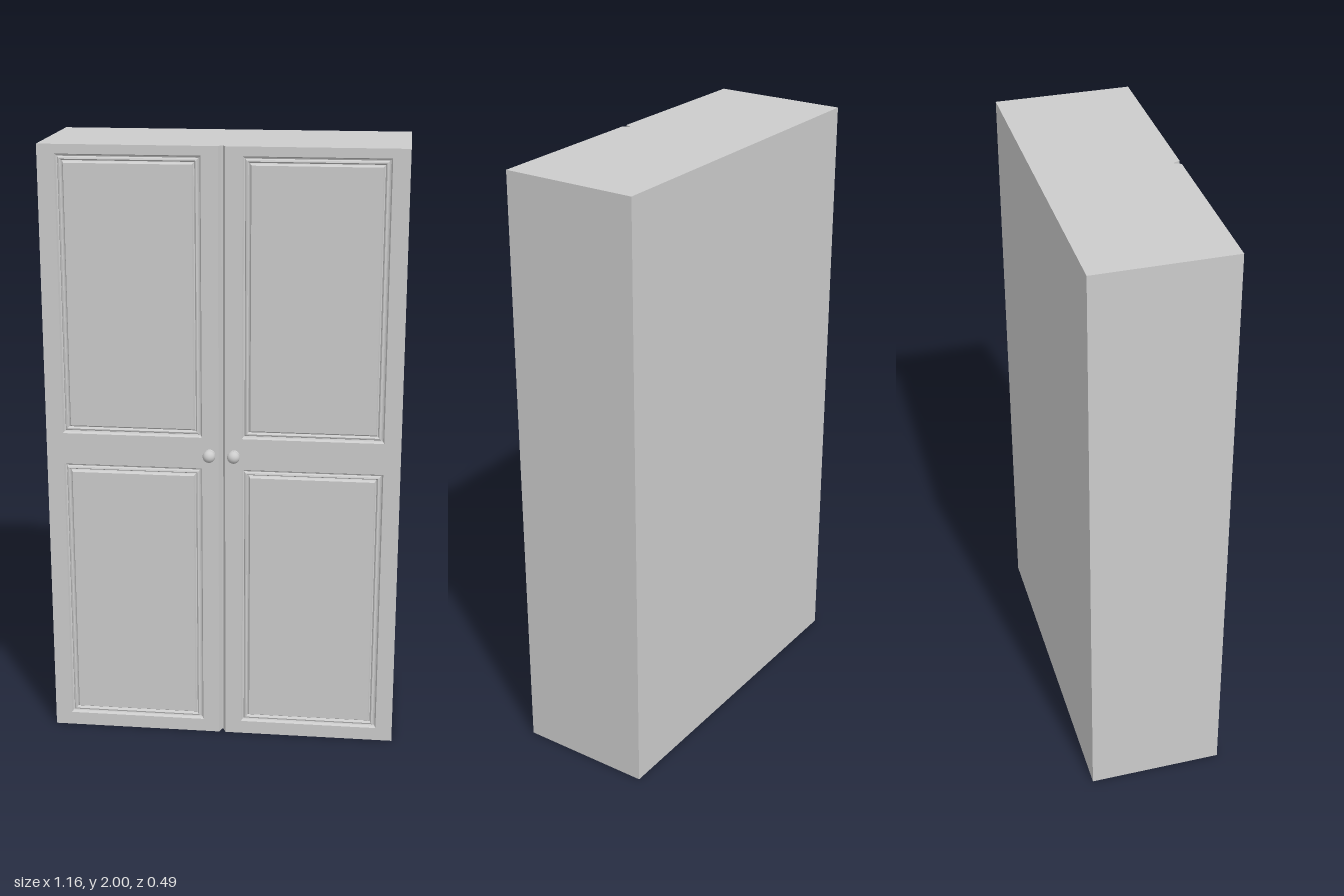
import * as THREE from 'three';

const material = new THREE.MeshStandardMaterial({ color: 0xcccccc });
const HALF_W = 0.58, HEIGHT = 2, BACK = -0.245, SEAM = 0.181, FRONT = 0.203;
const PANEL_X = [0.065, 0.525];
const PANEL_ROWS = [[0.045, 0.955], [1.06, 1.97]];
// moulding cross-section: [inset from the panel edge, height relative to the door face]
const MOULDING = [[0, 0], [0.004, -0.01], [0.008, -0.012], [0.011, -0.005], [0.016, -0.003],
  [0.019, -0.006], [0.021, -0.012], [0.024, -0.01], [0.028, 0]];

function add(parent, name, geometry) {
  const mesh = new THREE.Mesh(geometry, material);
  mesh.name = name;
  parent.add(mesh);
  return mesh;
}

function rectangle(target, x0, y0, x1, y1) {
  target.moveTo(x0, y0).lineTo(x1, y0).lineTo(x1, y1).lineTo(x0, y1).closePath();
  return target;
}

// Door leaf with panel openings; its meeting edge slants to form the central groove
function doorGeometry(side) {
  const xs = [side * 0.011, side * HALF_W].sort((a, b) => a - b);
  const shape = rectangle(new THREE.Shape(), xs[0], 0, xs[1], HEIGHT);
  const px = PANEL_X.map((x) => x * side).sort((a, b) => a - b);
  for (const [y0, y1] of PANEL_ROWS) {
    shape.holes.push(rectangle(new THREE.Path(), px[0], y0, px[1], y1));
  }
  const geometry = new THREE.ExtrudeGeometry(shape, { depth: FRONT - SEAM, bevelEnabled: false });
  const pos = geometry.attributes.position;
  for (let i = 0; i < pos.count; i++) {
    if (Math.abs(pos.getX(i)) < 0.02 && pos.getZ(i) < 0.001) pos.setX(i, side * 0.002);
  }
  geometry.translate(0, 0, SEAM);
  geometry.computeVertexNormals();
  return geometry;
}

// Mitred moulding built from inset rectangles, closed by the flat centre field
function panelGeometry(x0, y0, x1, y1) {
  const loops = MOULDING.map(([d, h]) => [
    [x0 + d, y0 + d, FRONT + h], [x1 - d, y0 + d, FRONT + h],
    [x1 - d, y1 - d, FRONT + h], [x0 + d, y1 - d, FRONT + h],
  ]);
  const verts = [];
  const quad = (a, b, c, d) => verts.push(...a, ...b, ...c, ...a, ...c, ...d);
  for (let k = 0; k < loops.length - 1; k++) {
    for (let i = 0; i < 4; i++) {
      const j = (i + 1) % 4;
      quad(loops[k][i], loops[k][j], loops[k + 1][j], loops[k + 1][i]);
    }
  }
  quad(...loops[loops.length - 1]);
  const geometry = new THREE.BufferGeometry();
  geometry.setAttribute('position', new THREE.Float32BufferAttribute(verts, 3));
  geometry.computeVertexNormals();
  return geometry;
}

// Turned knob: flared foot running into a ball
function knobGeometry() {
  const points = [new THREE.Vector2(0.018, 0), new THREE.Vector2(0.0155, 0.004)];
  const steps = 14, start = -0.75, r = 0.0205, centre = 0.0195;
  for (let i = 0; i <= steps; i++) {
    const a = start + (Math.PI / 2 - start) * (i / steps);
    points.push(new THREE.Vector2(Math.max(0, r * Math.cos(a)), centre + r * Math.sin(a)));
  }
  return new THREE.LatheGeometry(points, 28).rotateX(Math.PI / 2);
}

export function createModel() {
  const model = new THREE.Group();
  model.name = 'wardrobe';

  const depth = SEAM - BACK;
  add(model, 'carcass', new THREE.BoxGeometry(HALF_W * 2, HEIGHT, depth))
    .position.set(0, HEIGHT / 2, BACK + depth / 2);

  for (const side of [-1, 1]) {
    const door = new THREE.Group();
    door.name = side > 0 ? 'leftDoor' : 'rightDoor';
    model.add(door);
    add(door, 'doorFrame', doorGeometry(side));

    const [x0, x1] = PANEL_X.map((x) => x * side).sort((a, b) => a - b);
    PANEL_ROWS.forEach(([y0, y1], row) => {
      add(door, row ? 'upperPanel' : 'lowerPanel', panelGeometry(x0, y0, x1, y1));
    });

    add(door, 'knob', knobGeometry()).position.set(side * 0.04, 1.003, FRONT);
  }
  return model;
}
